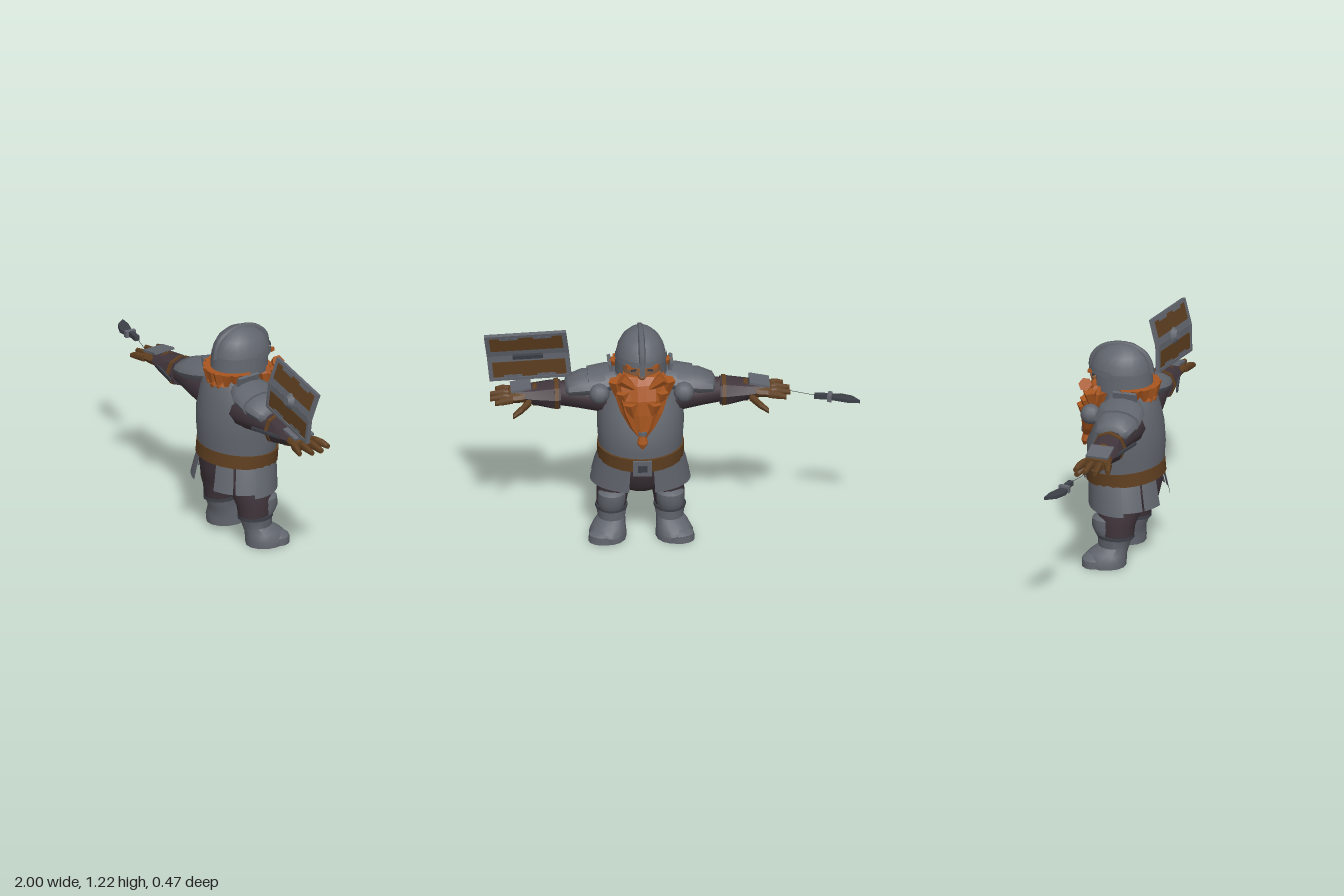
import * as THREE from 'three';
import { toCreasedNormals } from 'three/addons/utils/BufferGeometryUtils.js';

const mat = (name, color, flatShading = false) =>
  new THREE.MeshStandardMaterial({ name, color, flatShading, side: THREE.DoubleSide });

export function createModel() {
  const steel = mat('steel', 0x62666e);
  const cloth = mat('dark cloth', 0x40353b);
  const leather = mat('leather', 0x5f3f20);
  const hair = mat('red hair', 0xa8561f, true);
  const skin = mat('skin', 0x94623f);
  const dark = mat('dark iron', 0x3c4047);

  const model = new THREE.Group();
  const body = new THREE.Group();
  body.name = 'warrior';
  body.position.x = 0.165;
  model.add(body);

  function add(name, geo, m, pos = [0, 0, 0], rot = [0, 0, 0], parent = body) {
    const mesh = new THREE.Mesh(geo, m);
    mesh.name = name;
    mesh.position.set(...pos);
    mesh.rotation.set(...rot);
    parent.add(mesh);
    return mesh;
  }
  const box = (w, h, d) => new THREE.BoxGeometry(w, h, d);

  // Skin over elliptical rings [t, a, b, ra, rb]. Along y: a = x, b = z; along x: a = y, b = z.
  function loft(rings, { n = 16, axis = 'y', side = 1, jag = 0, crease = 0.75 } = {}) {
    const p = [], idx = [], last = rings.length - 1;
    const put = (t, a, b, ca, cb) => axis === 'y'
      ? p.push(side * (a + ca), t, b + cb) : p.push(side * t, a + cb, b + ca);
    const tri = (a, b, c) => (side > 0 ? idx.push(a, b, c) : idx.push(a, c, b));
    rings.forEach(([t, a, b, ra, rb]) => {
      for (let i = 0; i < n; i++) {
        const th = (i / n) * Math.PI * 2, k = i % 2 ? 1 - jag : 1;
        if (axis === 'y') put(t, a, b, ra * k * Math.cos(th), rb * k * Math.sin(th));
        else put(t, a, b, rb * k * Math.cos(th), ra * k * Math.sin(th));
      }
    });
    for (let j = 0; j < last; j++) for (let i = 0; i < n; i++) {
      const a = j * n + i, b = j * n + (i + 1) % n;
      tri(a, a + n, b); tri(b, a + n, b + n);
    }
    const c = p.length / 3;
    put(rings[0][0], rings[0][1], rings[0][2], 0, 0);
    put(rings[last][0], rings[last][1], rings[last][2], 0, 0);
    for (let i = 0; i < n; i++) {
      const k = (i + 1) % n;
      tri(c, i, k); tri(c + 1, last * n + k, last * n + i);
    }
    const g = new THREE.BufferGeometry();
    g.setAttribute('position', new THREE.Float32BufferAttribute(p, 3));
    g.setIndex(idx);
    return toCreasedNormals(g, crease);
  }

  // Open curved plate between two angles, measured from the back (+z) towards +x.
  function plate(rings, from, to, n = 8) {
    const g = new THREE.PlaneGeometry(1, 1, n, rings.length - 1), pos = g.attributes.position;
    rings.forEach(([y, x, z, rx, rz], j) => {
      for (let i = 0; i <= n; i++) {
        const th = THREE.MathUtils.degToRad(from + (to - from) * i / n);
        pos.setXYZ(j * (n + 1) + i, x + rx * Math.sin(th), y, z + rz * Math.cos(th));
      }
    });
    g.computeVertexNormals();
    return g;
  }

  // Torso and belt
  add('breastplate', loft([[0.48, 0, 0.01, 0.222, 0.2], [0.55, 0, 0.01, 0.225, 0.205], [0.65, 0, 0.014, 0.232, 0.208],
    [0.74, 0, 0.03, 0.23, 0.185], [0.82, 0, 0.035, 0.222, 0.162], [0.9, 0, 0.04, 0.195, 0.135],
    [0.96, 0, 0.03, 0.15, 0.11], [1, 0, 0.02, 0.1, 0.09]], { n: 24 }), steel);
  const tilt = [-0.09, 0, 0];
  add('belt', loft([[-0.037, 0, 0, 0.232, 0.213], [0.037, 0, 0, 0.232, 0.213]], { n: 24 }), leather, [0, 0.5, 0.01], tilt);
  add('buckle', box(0.1, 0.09, 0.02), steel, [0, 0.47, -0.2], tilt);
  add('buckleCentre', box(0.05, 0.04, 0.012), dark, [0, 0.47, -0.208], tilt);

  // Tunic and armoured skirt plates
  add('tunic', loft([[0.28, 0, 0.01, 0.1, 0.1], [0.33, 0, 0.02, 0.19, 0.165], [0.42, 0, 0.02, 0.215, 0.185],
    [0.5, 0, 0.01, 0.21, 0.19]], { n: 20 }), cloth);
  const skirt = [[0.49, 0, 0.01, 0.225, 0.2], [0.42, 0, 0.02, 0.248, 0.203], [0.335, 0, 0.03, 0.268, 0.21]];
  for (const s of [1, -1]) [[19, 46], [49, 78], [76, 128], [125, 165]].forEach(([a, b], i) =>
    add('skirtPlate', plate(skirt.map(([y, x, z, rx, rz], j) => [y - (i > 1 ? j * 0.012 : 0), x, z, rx, rz]), s * a, s * b), steel));

  for (const side of [1, -1]) {
    const y = { side, n: 14 }, x = { side, n: 12, axis: 'x' };
    // Legs and boots
    add('trouserLeg', loft([[0.16, 0.155, 0.01, 0.078, 0.09], [0.23, 0.15, 0.01, 0.085, 0.098],
      [0.3, 0.14, 0.015, 0.09, 0.12], [0.38, 0.11, 0.02, 0.1, 0.14]], y), cloth);
    add('kneeGuard', loft([[0.17, 0.157, -0.04, 0.065, 0.065], [0.21, 0.157, -0.048, 0.074, 0.077],
      [0.26, 0.155, -0.048, 0.074, 0.076], [0.285, 0.15, -0.035, 0.05, 0.055]], y), steel);
    add('boot', loft([[0, 0.178, -0.05, 0.1, 0.115], [0.035, 0.178, -0.05, 0.1, 0.118], [0.07, 0.17, -0.035, 0.088, 0.103],
      [0.105, 0.155, -0.008, 0.073, 0.083], [0.168, 0.155, 0.003, 0.084, 0.096]], y), steel);
    add('toeCap', loft([[0, 0.2, -0.1, 0.083, 0.068], [0.04, 0.2, -0.1, 0.08, 0.066], [0.065, 0.192, -0.09, 0.05, 0.045]], y), steel);
    add('bootCuff', loft([[0.155, 0.155, 0.003, 0.086, 0.1], [0.172, 0.155, 0.003, 0.086, 0.1]], y), dark);

    // Sleeve, bracer and straps
    add('sleeve', loft([[0.14, 0.79, 0.05, 0.1, 0.115], [0.24, 0.8, 0.05, 0.09, 0.11], [0.34, 0.8, 0.055, 0.075, 0.085],
      [0.43, 0.8, 0.06, 0.065, 0.065]], x), cloth);
    add('bracer', loft([[0.425, 0.795, 0.06, 0.083, 0.082], [0.47, 0.795, 0.06, 0.08, 0.085],
      [0.57, 0.8, 0.06, 0.055, 0.078], [0.66, 0.805, 0.06, 0.036, 0.06]], { ...x, n: 8 }), cloth);
    for (const [d, r] of [[0.435, 0.087], [0.55, 0.064]])
      add('bracerStrap', loft([[d, 0.797, 0.06, r, r + 0.004], [d + 0.022, 0.797, 0.06, r - 0.003, r + 0.004]], { ...x, n: 8 }), leather);
    add('bracerPlate', box(0.11, 0.012, 0.125), steel, [side * 0.635, 0.846, 0.065], [0, 0, -side * 0.2]);
    add('elbowStrap', box(0.2, 0.014, 0.012), dark, [side * 0.465, 0.8, 0.155], [0, side * 0.25, 0]);

    // Glove: palm, fingers and thumb
    add('palm', loft([[0.55, 0.8, 0.06, 0.04, 0.05], [0.62, 0.8, 0.06, 0.042, 0.07], [0.7, 0.797, 0.06, 0.03, 0.08]], x), leather);
    for (let i = 0; i < 4; i++) {
      const z = -0.004 + i * 0.043, w = (i - 1.5) * 0.016, tip = [0.775, 0.8, 0.797, 0.765][i];
      add('finger', loft([[0.68, 0.797, z, 0.023, 0.022], [0.73, 0.795, z + w * 0.6, 0.022, 0.019],
        [tip, 0.788, z + w, 0.014, 0.013]], { ...x, n: 8 }), leather);
    }
    add('thumb', loft([[0.58, 0.785, 0.01, 0.03, 0.026], [0.63, 0.75, -0.025, 0.026, 0.023],
      [0.68, 0.72, -0.05, 0.016, 0.015]], { ...x, n: 8 }), leather);

    // Layered shoulder armour
    add('upperShoulderPlate', loft([[0.12, 0.905, 0.04, 0.06, 0.1], [0.19, 0.895, 0.045, 0.065, 0.13],
      [0.28, 0.875, 0.05, 0.065, 0.128]], x), steel);
    add('lowerShoulderPlate', loft([[0.25, 0.87, 0.05, 0.06, 0.11], [0.31, 0.865, 0.053, 0.062, 0.115],
      [0.385, 0.85, 0.055, 0.045, 0.095], [0.4, 0.845, 0.055, 0.025, 0.06]], x), steel);
    add('shoulderStud', new THREE.SphereGeometry(0.055, 10, 8), steel, [side * 0.225, 0.875, -0.115]);
    add('collarPlate', box(0.018, 0.09, 0.13), steel, [side * 0.155, 0.95, 0.055], [0, 0, -side * 0.25]);

    // Cheek guards, eyes, brows and moustache
    add('cheekGuard', plate([[1.07, 0, -0.013, 0.133, 0.166], [0.965, 0, -0.008, 0.137, 0.165]], side * 88, side * 132), steel);
    add('eye', box(0.028, 0.014, 0.008), dark, [side * 0.045, 1.028, -0.153], [0, side * 0.3, 0]);
    add('brow', box(0.07, 0.02, 0.025), hair, [side * 0.05, 1.052, -0.155], [0, side * 0.3, side * 0.15]);
    add('moustache', new THREE.ConeGeometry(0.038, 0.15, 6), hair, [side * 0.055, 0.945, -0.18], [0, 0, side * 2.25]);
    for (let i = 0; i < 3; i++)
      add('beardLock', new THREE.ConeGeometry(0.04, 0.19, 5), hair,
        [side * (0.045 + i * 0.04), 0.765 + i * 0.055, -0.195 + i * 0.03], [Math.PI - 0.1, 0, side * 0.18]);
  }

  // Head and beard
  add('face', loft([[0.94, 0, -0.02, 0.1, 0.11], [1, 0, -0.02, 0.115, 0.133], [1.08, 0, -0.02, 0.115, 0.13]]), skin);
  add('nose', new THREE.SphereGeometry(0.024, 8, 6), skin, [0, 1, -0.163]);
  add('beard', loft([[0.66, 0, -0.205, 0.025, 0.022], [0.71, 0, -0.185, 0.07, 0.042], [0.79, 0, -0.165, 0.115, 0.064],
    [0.87, 0, -0.145, 0.142, 0.078], [0.95, 0, -0.12, 0.148, 0.075], [0.99, 0, -0.11, 0.125, 0.055]], { n: 18, jag: 0.1 }), hair);
  add('beardRing', new THREE.CylinderGeometry(0.028, 0.028, 0.022, 8), steel, [0, 0.685, -0.208]);
  add('braid', loft([[0.595, 0, -0.218, 0.008, 0.008], [0.625, 0, -0.212, 0.03, 0.024], [0.675, 0, -0.207, 0.02, 0.018]], { n: 8 }), hair);

  // Hair hanging below the back of the helmet
  add('hairCap', plate([[0.99, 0, -0.01, 0.134, 0.16], [0.92, 0, 0.01, 0.145, 0.175]], -85, 85, 12), hair);
  for (let i = -4; i <= 4; i++) {
    const a = i * 0.32, len = 0.15 - Math.abs(i) * 0.012;
    add('hairLock', new THREE.ConeGeometry(0.04, len, 5), hair,
      [0.135 * Math.sin(a), 0.995 - len / 2, 0.155 * Math.cos(a) + 0.01], [Math.PI, a, 0]);
  }

  // Helmet
  add('helmetDome', loft([[1.06, 0, -0.015, 0.134, 0.167], [1.11, 0, -0.015, 0.124, 0.157], [1.155, 0, -0.01, 0.1, 0.128],
    [1.19, 0, -0.005, 0.063, 0.08], [1.205, 0, 0, 0.025, 0.03]], { n: 20 }), steel);
  add('helmetNeckGuard', plate([[1.07, 0, -0.013, 0.133, 0.166], [0.965, 0, -0.005, 0.138, 0.166]], -90, 90, 16), steel);
  add('helmetBrowBand', plate([[1.085, 0, -0.015, 0.137, 0.171], [1.055, 0, -0.015, 0.14, 0.174]], 95, 265, 16), steel);
  add('noseGuard', box(0.026, 0.075, 0.014), steel, [0, 1.04, -0.178]);
  const crest = new THREE.CatmullRomCurve3([[1.06, -0.18], [1.12, -0.168], [1.17, -0.12], [1.197, -0.04], [1.195, 0.04],
    [1.16, 0.11], [1.11, 0.142], [1.055, 0.152]].map(([y, z]) => new THREE.Vector3(0, y, z)));
  add('helmetCrest', new THREE.TubeGeometry(crest, 24, 0.018, 6), steel);

  // Shield, gently folded along its middle
  const shield = new THREE.Group();
  shield.name = 'shield';
  shield.position.set(0.76, 1.02, 0.09);
  shield.rotation.set(-0.18, -0.09, -0.115);
  model.add(shield);
  for (const s of [1, -1]) {
    const half = new THREE.Group();
    half.name = 'shieldHalf';
    half.rotation.x = -s * 0.12;
    shield.add(half);
    add('shieldFace', box(0.42, 0.145, 0.01), steel, [0, s * 0.0725, 0], [0, 0, 0], half);
    add('shieldPlank', box(0.39, 0.09, 0.016), leather, [0, s * 0.082, 0], [0, 0, 0], half);
    add('shieldRim', box(0.438, 0.016, 0.022), steel, [0, s * 0.139, 0], [0, 0, 0], half);
    for (const e of [1, -1]) {
      add('shieldEdge', box(0.018, 0.147, 0.022), steel, [e * 0.21, s * 0.073, 0], [0, 0, 0], half);
      add('shieldBracket', box(0.1, 0.014, 0.02), steel, [e * 0.09, s * 0.122, 0], [0, 0, 0], half);
    }
  }
  add('shieldBoss', new THREE.CylinderGeometry(0.025, 0.048, 0.026, 8), steel, [0, 0, 0.015], [Math.PI / 2, 0, 0], shield);
  add('shieldGrip', box(0.16, 0.022, 0.02), dark, [0, 0, -0.02], [0, 0, 0], shield);

  // Throwing knife on a thin cord
  const blade = new THREE.Shape([[-1, -0.08], [-0.93, -0.07], [-0.85, -0.035], [-0.84, 0.005], [-0.9, 0.01], [-0.96, -0.02]]
    .map(([x, z]) => new THREE.Vector2(x, z)));
  const bladeGeo = new THREE.ExtrudeGeometry(blade, { depth: 0.018, bevelEnabled: false });
  bladeGeo.rotateX(Math.PI / 2);
  add('knifeBlade', bladeGeo, dark, [0, 0.784, 0], [0, 0, 0], model);
  add('knifeGuard', box(0.022, 0.036, 0.06), steel, [-0.842, 0.777, -0.015], [0, -0.15, 0], model);
  add('knifeHandle', box(0.08, 0.026, 0.028), dark, [-0.8, 0.78, -0.01], [0, -0.15, 0], model);
  const cord = new THREE.LineCurve3(new THREE.Vector3(-0.77, 0.782, -0.005), new THREE.Vector3(-0.62, 0.79, 0.05));
  add('knifeCord', new THREE.TubeGeometry(cord, 1, 0.0015, 4), dark, [0, 0, 0], [0, 0, 0], model);
  return model;
}
